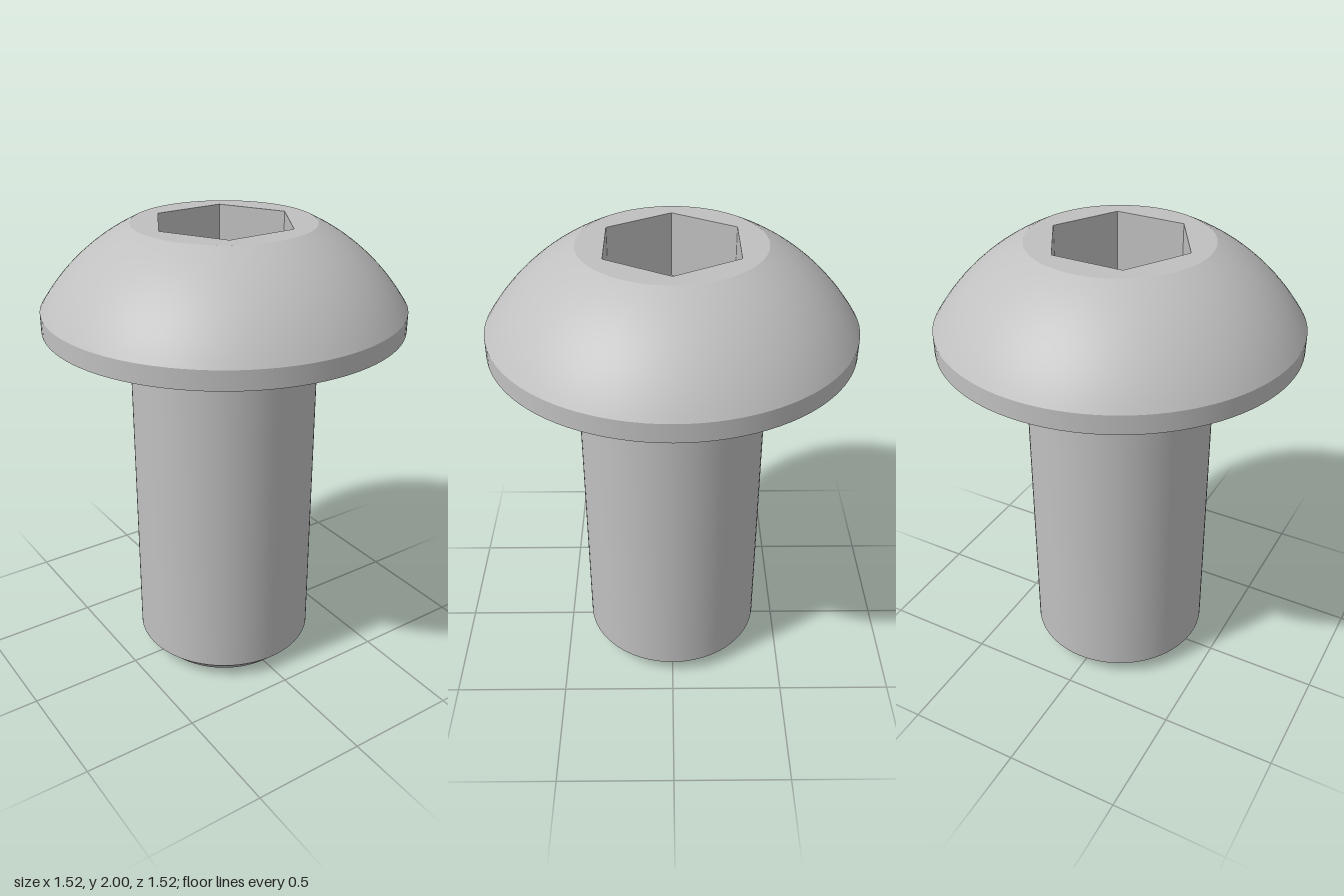
import * as THREE from 'three';

const SEGMENTS = 96;
const HEAD_R = 0.76, TOP_R = 0.38, SHANK_R = 0.4, TIP_R = 0.33, HEX_R = 0.305;
const TOP_Y = 2, RIM_Y = 1.66, HEAD_Y = 1.58, CHAMFER_Y = 0.07, SOCKET_Y = 1.72;

export function createModel() {
  const steel = new THREE.MeshStandardMaterial({ color: 0xc0c0c0 });
  steel.name = 'steel';
  const screw = new THREE.Group();
  screw.name = 'buttonHeadScrew';

  const add = (name, geometry, parent) => {
    const mesh = new THREE.Mesh(geometry, steel);
    mesh.name = name;
    parent.add(mesh);
  };
  // Each turned section is its own lathe, so the edges between them stay sharp
  const turn = (...points) =>
    new THREE.LatheGeometry(points.map(([r, y]) => new THREE.Vector2(r, y)), SEGMENTS);

  // Shank with chamfered tip
  const shank = new THREE.Group();
  shank.name = 'shank';
  add('shankBody', turn([SHANK_R, CHAMFER_Y], [SHANK_R, HEAD_Y]), shank);
  add('tipChamfer', turn([TIP_R, 0], [SHANK_R, CHAMFER_Y]), shank);
  add('tipFace', new THREE.CircleGeometry(TIP_R, SEGMENTS).rotateX(Math.PI / 2), shank);

  // Head: underside, straight rim and a spherical dome cut flat on top
  const head = new THREE.Group();
  head.name = 'head';
  add('headUnderside', turn([SHANK_R, HEAD_Y], [HEAD_R, HEAD_Y]), head);
  add('headRim', turn([HEAD_R, HEAD_Y], [HEAD_R, RIM_Y]), head);
  const centreY = (TOP_R ** 2 + TOP_Y ** 2 - HEAD_R ** 2 - RIM_Y ** 2) / (2 * (TOP_Y - RIM_Y));
  const radius = Math.hypot(HEAD_R, RIM_Y - centreY);
  const a0 = Math.atan2(RIM_Y - centreY, HEAD_R);
  const a1 = Math.atan2(TOP_Y - centreY, TOP_R);
  const arc = Array.from({ length: 17 }, (_, i) => {
    const a = a0 + (a1 - a0) * i / 16;
    return [radius * Math.cos(a), centreY + radius * Math.sin(a)];
  });
  add('headDome', turn(...arc), head);

  // Flat top with a hexagonal opening
  const top = new THREE.Shape().absarc(0, 0, TOP_R, 0, Math.PI * 2);
  const hexagon = Array.from({ length: 6 }, (_, i) =>
    new THREE.Vector2(HEX_R * Math.cos(i * Math.PI / 3), HEX_R * Math.sin(i * Math.PI / 3)));
  top.holes.push(new THREE.Path(hexagon));
  add('headTop', new THREE.ShapeGeometry(top, SEGMENTS).rotateX(-Math.PI / 2).translate(0, TOP_Y, 0), head);

  // Hex socket: inward-facing flat walls and a floor
  const walls = new THREE.LatheGeometry(
    [new THREE.Vector2(HEX_R, TOP_Y), new THREE.Vector2(HEX_R, SOCKET_Y)], 6, Math.PI / 2
  ).toNonIndexed();
  walls.computeVertexNormals();
  add('socketWalls', walls, head);
  add('socketFloor', new THREE.CircleGeometry(HEX_R, 6).rotateX(-Math.PI / 2).translate(0, SOCKET_Y, 0), head);

  screw.add(shank, head);
  return screw;
}
